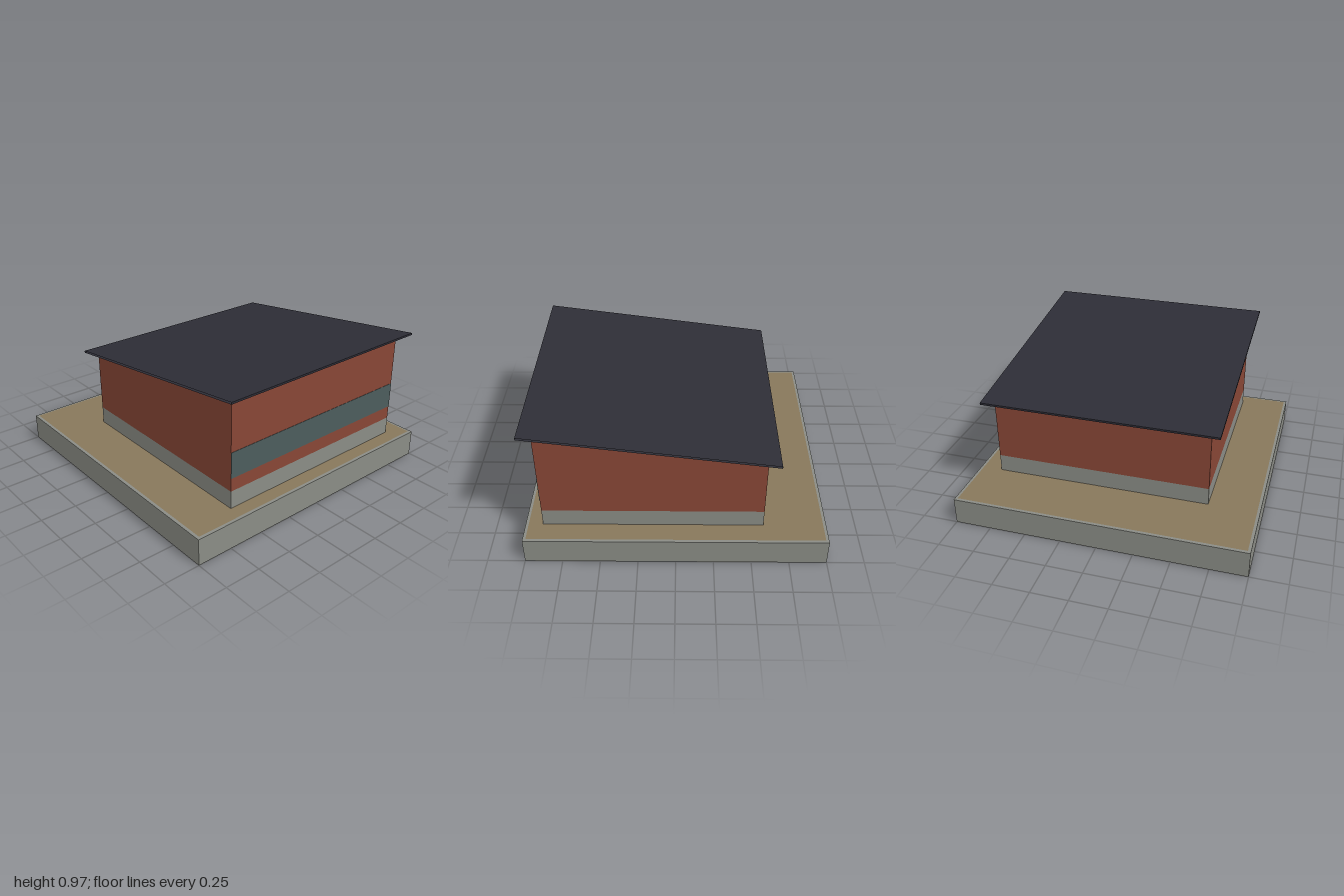
import * as THREE from 'three';

const paint = (name, color, side = THREE.FrontSide) => {
  const m = new THREE.MeshStandardMaterial({ color, side });
  m.name = name;
  return m;
};

export function createModel() {
  const concrete = paint('concrete grey', 0x8a8c85);
  const earth = paint('earth tan', 0x87775b);
  const brick = paint('brick red', 0x884636);
  const glass = paint('window teal', 0x4c5d5d);
  const slate = paint('slate roof', 0x2d2d36, THREE.DoubleSide);

  const model = new THREE.Group();
  model.name = 'house';
  const add = (name, geometry, material) => {
    const mesh = new THREE.Mesh(geometry, material);
    mesh.name = name;
    model.add(mesh);
  };
  // Box given by its lower and upper corners
  const box = (name, material, [x0, y0, z0], [x1, y1, z1]) => add(name,
    new THREE.BoxGeometry(x1 - x0, y1 - y0, z1 - z0)
      .translate((x0 + x1) / 2, (y0 + y1) / 2, (z0 + z1) / 2), material);

  const left = -0.582, right = 0.884, back = -0.843, front = 0.654;
  const ground = 0.185, wallBase = 0.31;
  const roofY = x => 0.846 + 0.132 * x; // slope of the roof's upper face

  // Ground slab with an inset earth surface
  box('groundSlab', concrete, [-1, 0, -1], [1, ground, 1]);
  add('earthSurface', new THREE.PlaneGeometry(1.96, 1.96)
    .rotateX(-Math.PI / 2).translate(0, ground + 0.002, 0), earth);

  // Plinth and walls with a sloping top
  box('plinth', concrete, [left, ground, back], [right, wallBase, front]);
  const profile = new THREE.Shape([
    new THREE.Vector2(left, wallBase),
    new THREE.Vector2(right, wallBase),
    new THREE.Vector2(right, roofY(right) - 0.001),
    new THREE.Vector2(left, roofY(left) - 0.001),
  ]);
  add('walls', new THREE.ExtrudeGeometry(profile, { depth: front - back, bevelEnabled: false })
    .translate(0, 0, back), brick);

  // Full-width window band on the tall side
  box('windowBand', glass, [right - 0.002, 0.402, back], [right + 0.002, 0.584, front]);

  // Thin roof sleeve, open at its front and back ends
  const x0 = -0.658, x1 = 0.962, zBack = -0.913, zFront = 0.722, thick = 0.014;
  const section = [[x0, roofY(x0) - thick], [x1, roofY(x1) - thick], [x1, roofY(x1)], [x0, roofY(x0)]];
  const points = [];
  section.forEach((a, i) => {
    const b = section[(i + 1) % section.length];
    const [af, ab, bb, bf] = [[...a, zFront], [...a, zBack], [...b, zBack], [...b, zFront]];
    points.push(...af, ...ab, ...bb, ...af, ...bb, ...bf);
  });
  const roof = new THREE.BufferGeometry();
  roof.setAttribute('position', new THREE.Float32BufferAttribute(points, 3));
  roof.computeVertexNormals();
  add('roof', roof, slate);

  return model;
}
